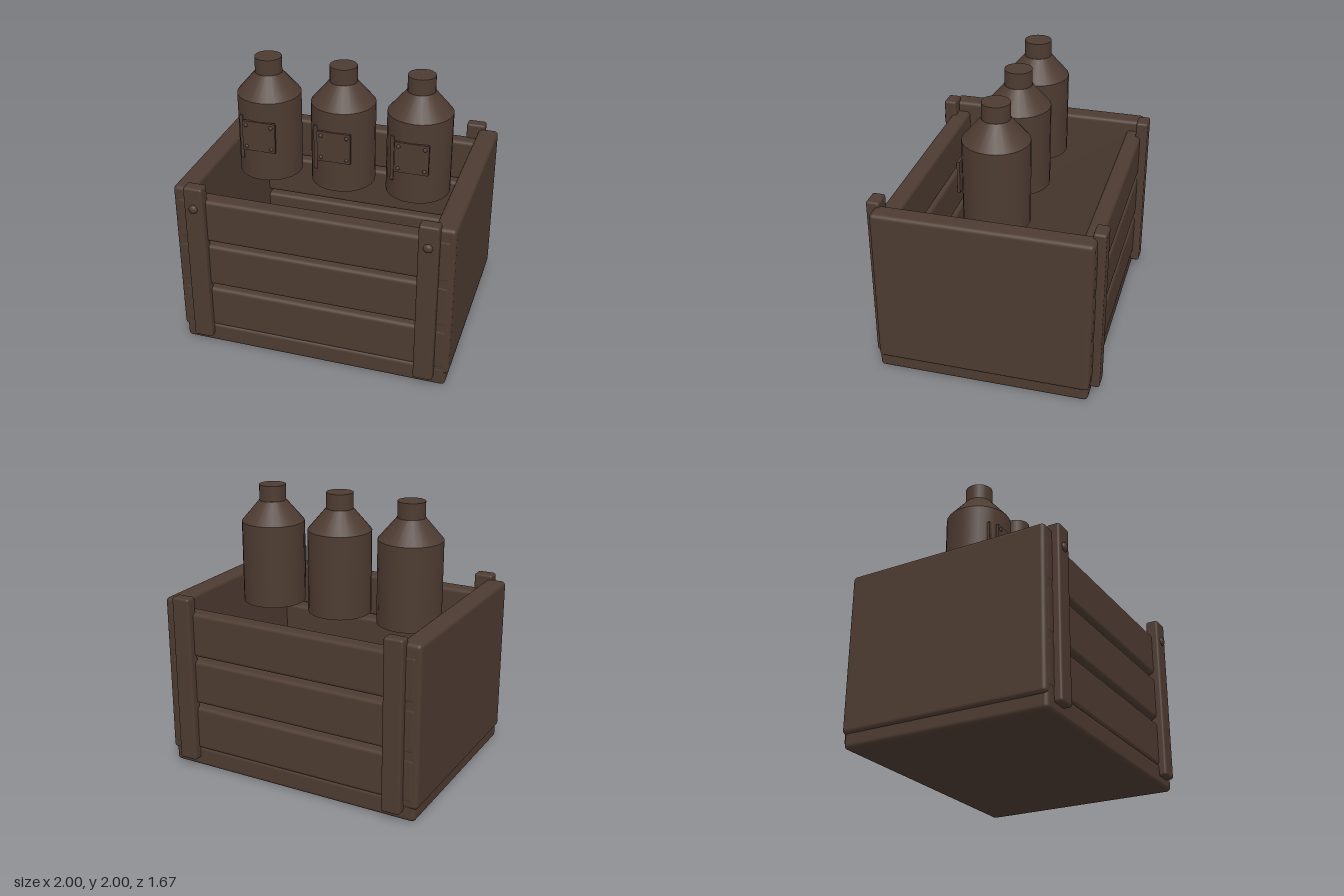
import * as THREE from 'three';
import { RoundedBoxGeometry } from 'three/addons/geometries/RoundedBoxGeometry.js';

const brown = new THREE.MeshStandardMaterial({ color: 0x4d3b31 });

function add(parent, name, geometry, x = 0, y = 0, z = 0) {
  const mesh = new THREE.Mesh(geometry, brown);
  mesh.name = name;
  mesh.position.set(x, y, z);
  parent.add(mesh);
  return mesh;
}

// Rounded board given by its extents on each axis
function board(parent, name, [x0, x1], [y0, y1], [z0, z1], radius) {
  const geometry = new RoundedBoxGeometry(x1 - x0, y1 - y0, z1 - z0, 3, radius);
  return add(parent, name, geometry, (x0 + x1) / 2, (y0 + y1) / 2, (z0 + z1) / 2);
}

function createBottle() {
  const bottle = new THREE.Group();
  bottle.name = 'bottle';

  // Body, sloping shoulder and neck
  const sides = 24;
  add(bottle, 'body', new THREE.CylinderGeometry(0.232, 0.232, 0.61, sides), 0, 1.425);
  add(bottle, 'shoulder', new THREE.CylinderGeometry(0.1, 0.232, 0.155, sides), 0, 1.8075);
  add(bottle, 'neck', new THREE.CylinderGeometry(0.098, 0.098, 0.12, sides), 0, 1.94);

  // Riveted label plate and thin strip beside it
  add(bottle, 'labelPlate', new THREE.BoxGeometry(0.245, 0.23, 0.02), 0, 1.47, 0.23);
  for (const x of [-0.094, 0.094]) {
    for (const y of [1.385, 1.553]) {
      add(bottle, 'rivet', new THREE.SphereGeometry(0.015, 10, 8), x, y, 0.238);
    }
  }
  add(bottle, 'sideStrip', new THREE.BoxGeometry(0.024, 0.34, 0.02), -0.15, 1.43, 0.18);
  return bottle;
}

export function createModel() {
  const model = new THREE.Group();
  model.name = 'bottleCrate';
  const crate = new THREE.Group();
  crate.name = 'crate';
  model.add(crate);

  // Floor and solid end panels
  board(crate, 'base', [-0.98, 0.98], [0, 0.155], [-0.77, 0.755], 0.03);
  board(crate, 'rightEndPanel', [-1, -0.85], [0.1, 1.28], [-0.778, 0.753], 0.03);
  board(crate, 'leftEndPanel', [0.85, 1], [0.1, 1.28], [-0.778, 0.753], 0.03);

  // Three slats on the front and back
  for (let i = 0; i < 3; i++) {
    const y = 0.145 + i * 0.362;
    board(crate, 'frontSlat', [-0.978, 0.978], [y, y + 0.331], [0.625, 0.757], 0.03);
    board(crate, 'backSlat', [-0.978, 0.978], [y, y + 0.331], [-0.66, -0.782], 0.03).geometry =
      new RoundedBoxGeometry(1.956, 0.331, 0.122, 3, 0.03);
  }

  // Corner posts, with a domed bolt on each front post
  for (const x of [-0.828, 0.828]) {
    board(crate, 'frontPost', [x - 0.07, x + 0.07], [0.065, 1.315], [0.715, 0.81], 0.018);
    board(crate, 'backPost', [x - 0.07, x + 0.07], [0.065, 1.315], [-0.835, -0.745], 0.018);
    const bolt = add(crate, 'bolt', new THREE.SphereGeometry(0.033, 16, 12), x, 1.155, 0.808);
    bolt.scale.z = 0.75;
  }

  // Row of bottles
  for (const x of [-0.56, 0, 0.56]) {
    const bottle = createBottle();
    bottle.position.set(x, 0, -0.012);
    model.add(bottle);
  }
  return model;
}
